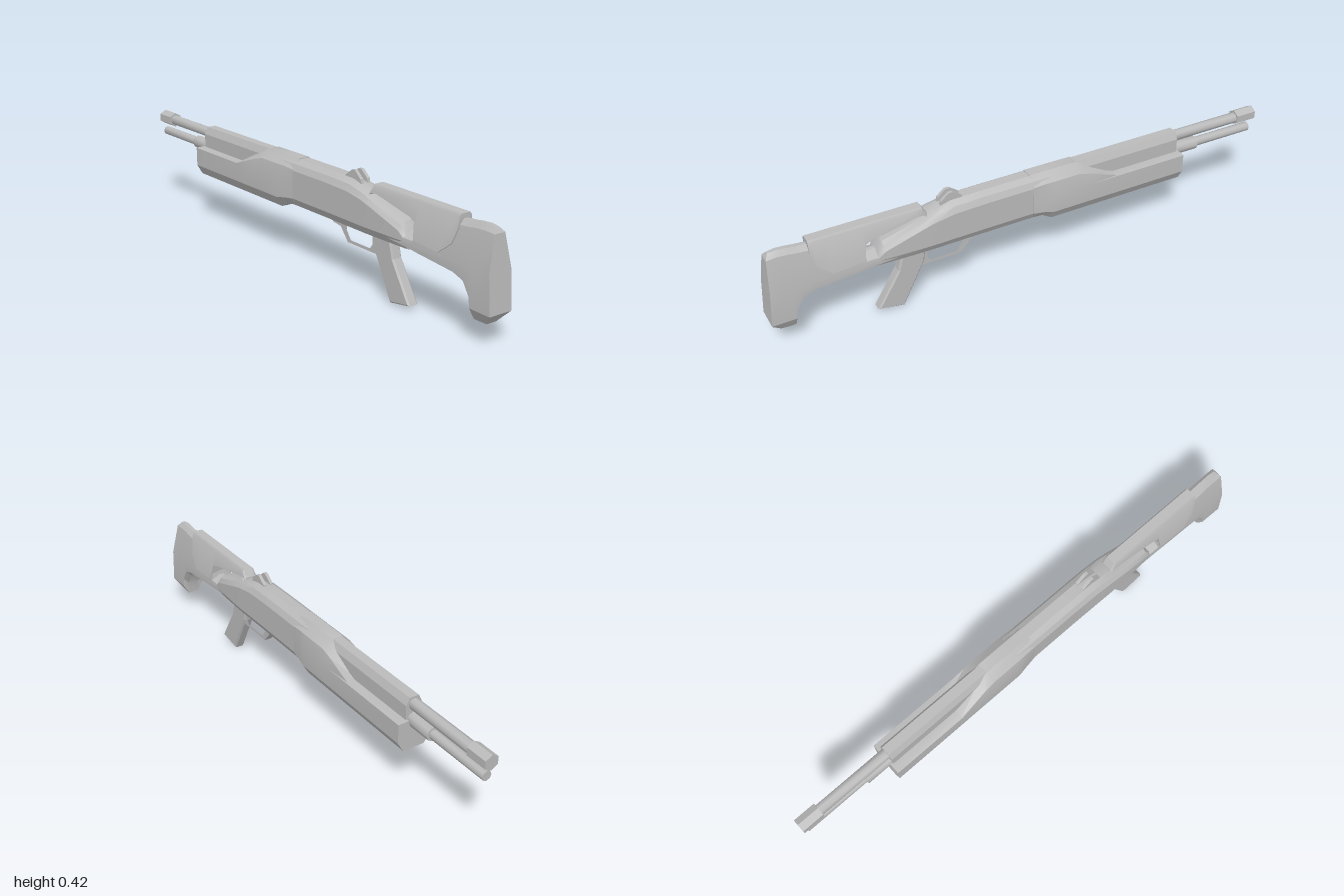
import * as THREE from 'three';
import { toCreasedNormals } from 'three/addons/utils/BufferGeometryUtils.js';

const metal = new THREE.MeshStandardMaterial({ color: 0xbababa });
metal.name = 'grey metal';

// Skin a run of mirrored cross-sections, ordered from +z to -z.
// Each section is [z, [x, y, ownZ?], ...], listing the +x half from bottom to top.
function loft(sections) {
  const rings = sections.map(([z, ...half]) => {
    const right = half.map(([x, y, own]) => [x, y, own ?? z]);
    const left = right.map(([x, y, d]) => [-x, y, d]).reverse();
    return [...right, ...left];
  });
  const n = rings[0].length, index = [];
  for (let r = 0; r < rings.length - 1; r++) {
    for (let i = 0; i < n; i++) {
      const j = (i + 1) % n, a = r * n, b = a + n;
      index.push(a + i, b + i, b + j, a + i, b + j, a + j);
    }
  }
  const last = (rings.length - 1) * n;
  // end caps as strips between mirrored points
  for (let i = 0; i < n / 2 - 1; i++) {
    const l = n - 1 - i;
    index.push(i, i + 1, l - 1, i, l - 1, l);
    index.push(last + i, last + l - 1, last + i + 1, last + i, last + l, last + l - 1);
  }
  const g = new THREE.BufferGeometry();
  g.setAttribute('position', new THREE.Float32BufferAttribute(rings.flat(2), 3));
  g.setIndex(index);
  return toCreasedNormals(g, 0.45);
}

// Plate with a (z, y) side profile and an optional hole, centred on x
function plate(profile, width, hole, bevel = 0) {
  const pts = (list) => list.map(([z, y]) => new THREE.Vector2(-z, y));
  const shape = new THREE.Shape(pts(profile));
  if (hole) shape.holes.push(new THREE.Path(pts(hole)));
  const depth = width - 2 * bevel;
  const g = new THREE.ExtrudeGeometry(shape, {
    depth, bevelEnabled: bevel > 0, bevelSize: bevel, bevelOffset: -bevel,
    bevelThickness: bevel, bevelSegments: 1,
  });
  return g.translate(0, 0, -depth / 2).rotateY(Math.PI / 2);
}

// Tube along z with a low side count
function rod(radius, y, z0, z1, sides) {
  const g = new THREE.CylinderGeometry(radius, radius, Math.abs(z1 - z0), sides);
  g.rotateX(Math.PI / 2).translate(0, y, (z0 + z1) / 2);
  return toCreasedNormals(g, 0.9);
}

export function createModel() {
  const model = new THREE.Group();
  model.name = 'longGun';
  const add = (name, geometry) => {
    const mesh = new THREE.Mesh(geometry, metal);
    mesh.name = name;
    model.add(mesh);
    return mesh;
  };

  // Stock with a drooping toe, thinning towards the comb
  const stockSection = (z, bottom, low, top) => [z, [0.022, bottom], [0.045, low],
    [0.046, 0.25], [Math.max(0.022, 0.046 - (top - 0.268) * 0.2), top - 0.018], [0.008, top]];
  add('stock', loft([
    [1, [0.02, 0.08, 0.965], [0.046, 0.12, 1], [0.047, 0.25, 0.99], [0.022, 0.37, 0.98], [0.006, 0.387, 0.968]],
    stockSection(0.94, 0.08, 0.12, 0.39),
    stockSection(0.912, 0.08, 0.12, 0.388),
    stockSection(0.908, 0.13, 0.155, 0.388),
    stockSection(0.88, 0.18, 0.2, 0.384),
    stockSection(0.835, 0.2, 0.215, 0.38),
    stockSection(0.66, 0.22, 0.23, 0.38),
    stockSection(0.648, 0.222, 0.232, 0.28),
    stockSection(0.5, 0.235, 0.242, 0.28),
  ]));

  // Cheek rest saddling the stock and reaching forward over the gap
  const cheekSection = (z, bottom, top = 0.397) => [z,
    [0.023 + (0.395 - bottom) * 0.2, bottom], [0.024, top - 0.008], [0.018, top]];
  add('cheekRest', loft([
    cheekSection(0.837, 0.35), cheekSection(0.82, 0.3), cheekSection(0.77, 0.26),
    cheekSection(0.655, 0.267), cheekSection(0.645, 0.325), cheekSection(0.62, 0.335),
    cheekSection(0.45, 0.367), cheekSection(0.428, 0.367), cheekSection(0.41, 0.355, 0.368),
  ]));

  // Receiver with a rounded tail
  const receiverSection = (z, w, shoulder, top) => [z, [w * 0.7, 0.222], [w, 0.25],
    [w, shoulder], [w * 0.78, (shoulder + top) / 2 + 0.004], [0.02, top]];
  add('receiver', loft([
    [0.62, [0.03, 0.222], [0.04, 0.228], [0.04, 0.235], [0.035, 0.24], [0.02, 0.243]],
    receiverSection(0.6, 0.046, 0.265, 0.285),
    receiverSection(0.583, 0.048, 0.28, 0.308),
    receiverSection(0.45, 0.054, 0.325, 0.347),
    receiverSection(0.4, 0.055, 0.34, 0.368),
    receiverSection(0.32, 0.054, 0.352, 0.39),
    receiverSection(0.2, 0.053, 0.355, 0.392),
    receiverSection(-0.06, 0.053, 0.355, 0.392),
  ]));

  // Fore-end, whose upper sides slope down to leave the barrel shroud free
  const foreSection = (z, shoulder, top) => [z, [0.042, 0.2], [0.065, 0.238],
    [0.066, 0.31], [Math.min(0.062, 0.056 + (0.362 - shoulder) * 0.1), shoulder], [0.021, top]];
  add('foreEnd', loft([
    [0.01, [0.037, 0.222], [0.054, 0.25], [0.054, 0.31], [0.053, 0.358], [0.021, 0.395]],
    [-0.035, [0.038, 0.22], [0.06, 0.245], [0.061, 0.31], [0.055, 0.362], [0.021, 0.395]],
    foreSection(-0.07, 0.362, 0.395),
    foreSection(-0.18, 0.362, 0.394),
    foreSection(-0.225, 0.35, 0.374),
    foreSection(-0.34, 0.311, 0.312),
    foreSection(-0.635, 0.311, 0.312),
  ]));

  // Faceted shroud around the barrel
  const shroudSection = (z) => [z, [0.03, 0.29], [0.031, 0.365], [0.018, 0.392]];
  add('barrelShroud', loft([shroudSection(-0.05), shroudSection(-0.625)]));

  // Barrel, muzzle collar and lower tube
  add('barrel', rod(0.021, 0.365, -0.6, -0.93, 8));
  add('muzzle', rod(0.029, 0.366, -0.915, -1, 6));
  add('magazineTube', rod(0.018, 0.308, -0.6, -0.985, 8));
  add('magazineCollar', rod(0.026, 0.308, -0.6, -0.73, 8));

  // Raked hand grip
  add('grip', plate([[0.51, 0.235], [0.42, 0.235], [0.43, 0.17], [0.517, 0.003],
    [0.615, 0.02], [0.53, 0.16]], 0.042, null, 0.006));

  // Trigger guard
  add('triggerGuard', plate(
    [[0.45, 0.225], [0.2, 0.225], [0.2, 0.206], [0.245, 0.2], [0.285, 0.152], [0.44, 0.152]], 0.03,
    [[0.418, 0.215], [0.28, 0.215], [0.278, 0.196], [0.302, 0.163], [0.405, 0.163], [0.418, 0.18]]));

  // Pair of rear sight prongs
  for (const side of [-1, 1]) {
    const prong = add(side > 0 ? 'leftSight' : 'rightSight', plate(
      [[0.36, 0.375], [0.355, 0.395], [0.325, 0.42], [0.31, 0.42], [0.275, 0.395], [0.275, 0.375]], 0.012));
    prong.position.x = side * 0.014;
  }
  return model;
}
